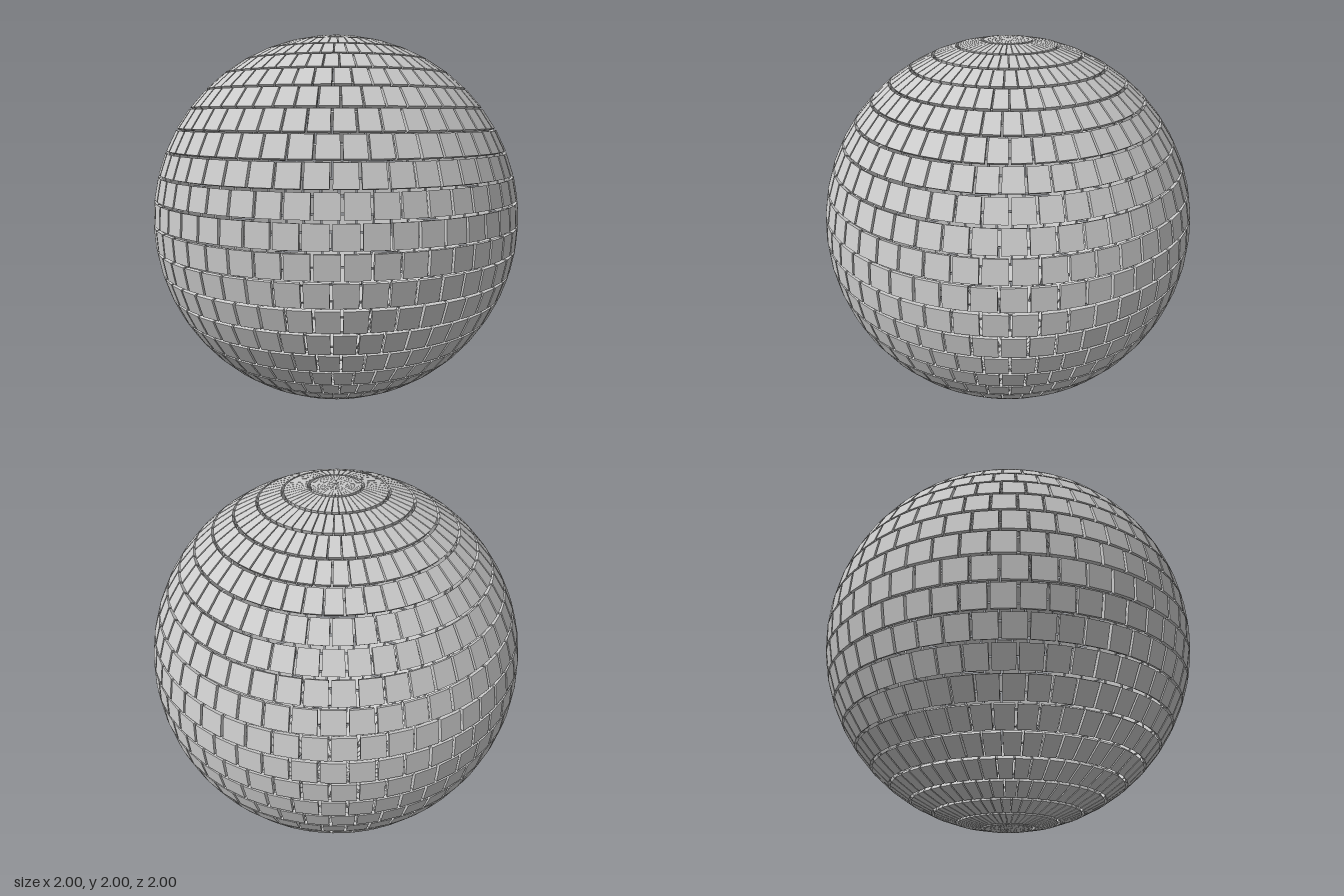
import * as THREE from 'three';
import { mergeGeometries } from 'three/addons/utils/BufferGeometryUtils.js';

const ROWS = 24, COLUMNS = 48;
const OUTER = 1, THICKNESS = 0.02;
const ROW_STEP = Math.PI / ROWS, COLUMN_STEP = 2 * Math.PI / COLUMNS;
const FILL = 0.895;      // share of each cell covered by its tile
const STAGGER = 0.37;    // shift of every second row, in tiles

// One flat tile: a box whose corners are moved onto the sphere
function tileGeometry(latitude) {
  const box = new THREE.BoxGeometry(1, 1, 1);
  const p = box.attributes.position;
  for (let i = 0; i < p.count; i++) {
    const azimuth = p.getX(i) * COLUMN_STEP * FILL;
    const lat = latitude + p.getY(i) * ROW_STEP * FILL;
    const r = OUTER - (0.5 - p.getZ(i)) * THICKNESS;
    p.setXYZ(i,
      r * Math.cos(lat) * Math.sin(azimuth),
      r * Math.sin(lat),
      r * Math.cos(lat) * Math.cos(azimuth));
  }
  const flat = box.toNonIndexed();
  flat.computeVertexNormals();
  return flat;
}

export function createModel() {
  const ball = new THREE.Group();
  ball.name = 'mirrorBall';
  const material = new THREE.MeshStandardMaterial({ color: 0xcccccc, flatShading: true });

  // Rings of separate tiles, stacked from the bottom pole to the top pole
  for (let row = 0; row < ROWS; row++) {
    const tile = tileGeometry((row + 0.5) * ROW_STEP - Math.PI / 2);
    const shift = 0.5 + (row % 2) * STAGGER;
    const tiles = [];
    for (let c = 0; c < COLUMNS; c++) {
      tiles.push(tile.clone().rotateY((c + shift) * COLUMN_STEP));
    }
    const ring = new THREE.Mesh(mergeGeometries(tiles), material);
    ring.name = 'tileRing' + (row + 1);
    ring.position.y = OUTER;
    ball.add(ring);
  }
  return ball;
}
